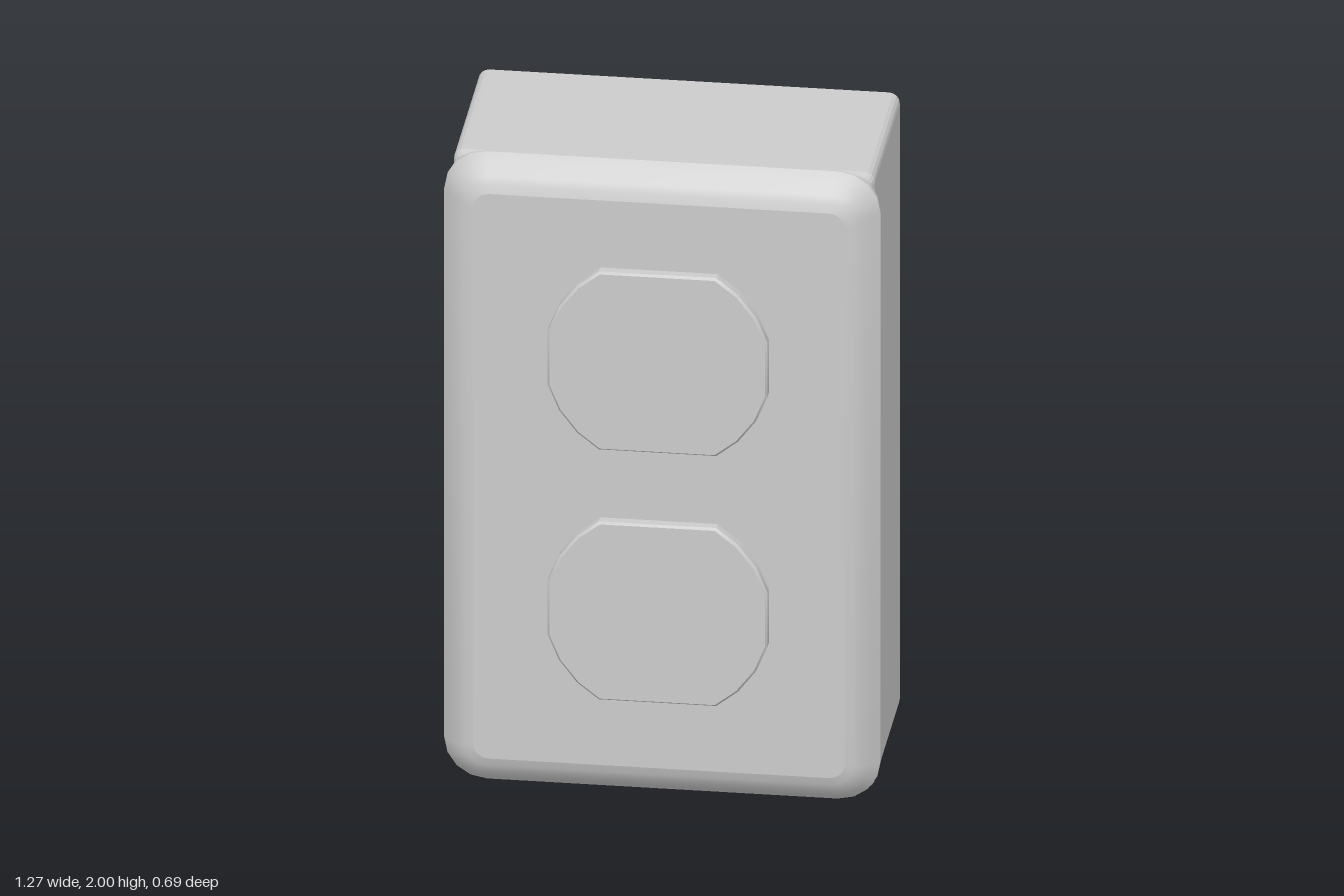
import * as THREE from 'three';
import { toCreasedNormals } from 'three/addons/utils/BufferGeometryUtils.js';

const material = new THREE.MeshStandardMaterial({ color: 0xcccccc, side: THREE.DoubleSide });

// Rounded rectangle centred on the origin, counter-clockwise, four steps per corner
function roundedRect(halfW, halfH, r) {
  const points = [];
  const corners = [[1, 1], [-1, 1], [-1, -1], [1, -1]];
  corners.forEach(([sx, sy], c) => {
    for (let i = 0; i <= 4; i++) {
      const a = (c + i / 4) * Math.PI / 2;
      points.push(new THREE.Vector2(
        sx * (halfW - r) + r * Math.cos(a), sy * (halfH - r) + r * Math.sin(a)));
    }
  });
  return points;
}

// Circle clipped flat at top, bottom and both sides
function socketOutline(inset = 0) {
  const r = 0.331 - inset;
  return [15, 30, 45, 59, 121, 135, 150, 165, 195, 210, 225, 239, 301, 315, 330, 345].map(d => {
    const a = THREE.MathUtils.degToRad(d);
    return new THREE.Vector2(r * Math.cos(a), r * Math.sin(a));
  });
}

// Skin over outlines placed at successive depths, from back to front
function skin(rings, crease) {
  const n = rings[0].points.length, positions = [], index = [];
  rings.forEach(({ points, z }) => points.forEach(p => positions.push(p.x, p.y, z)));
  for (let k = 0; k < rings.length - 1; k++) {
    for (let i = 0; i < n; i++) {
      const a = k * n + i, b = k * n + (i + 1) % n;
      index.push(a, b, b + n, a, b + n, a + n);
    }
  }
  const geometry = new THREE.BufferGeometry();
  geometry.setAttribute('position', new THREE.Float32BufferAttribute(positions, 3));
  geometry.setIndex(index);
  return toCreasedNormals(geometry, crease);
}

export function createModel() {
  const group = new THREE.Group();
  const add = (name, geometry, y, z = 0) => {
    const mesh = new THREE.Mesh(geometry, material);
    mesh.name = name;
    mesh.position.set(0, y, z);
    group.add(mesh);
  };
  const ring = ([w, h, r, z]) => ({ points: roundedRect(w, h, r), z });

  // Deep box sides, open at the back
  add('boxWalls', skin([
    [0.612, 0.982, 0.032, -0.347], [0.612, 0.982, 0.032, 0.19], [0.605, 0.975, 0.032, 0.215],
  ].map(ring), 0.1), 1);

  // Flared lip behind the cover
  add('coverLip', skin([
    [0.605, 0.975, 0.032, 0.215], [0.634, 1, 0.125, 0.228], [0.634, 1, 0.125, 0.236],
  ].map(ring), 0.5), 1);

  // Rounded bevel of the cover
  add('coverBevel', skin([
    [0.634, 1, 0.125, 0.236], [0.612, 0.978, 0.105, 0.264],
    [0.583, 0.948, 0.08, 0.293], [0.565, 0.925, 0.065, 0.304], [0.54, 0.9, 0.045, 0.312],
  ].map(ring), 0.7), 1);

  // Flat front with an opening for each socket
  const front = new THREE.Shape(roundedRect(0.54, 0.9, 0.045));
  const sockets = { upper: 1.403, lower: 0.606 };
  for (const y of Object.values(sockets)) {
    front.holes.push(new THREE.Path(
      socketOutline().map(p => new THREE.Vector2(p.x, p.y + y - 1)).reverse()));
  }
  add('coverFront', new THREE.ShapeGeometry(front), 1, 0.312);

  // Raised hollow sockets with a small chamfer
  for (const [name, y] of Object.entries(sockets)) {
    add(name + 'SocketRim', skin([
      { points: socketOutline(), z: 0.312 },
      { points: socketOutline(), z: 0.339 },
      { points: socketOutline(0.007), z: 0.347 },
    ], 0.55), y);
    add(name + 'SocketFace', new THREE.ShapeGeometry(new THREE.Shape(socketOutline(0.007))), y, 0.347);
  }
  return group;
}
